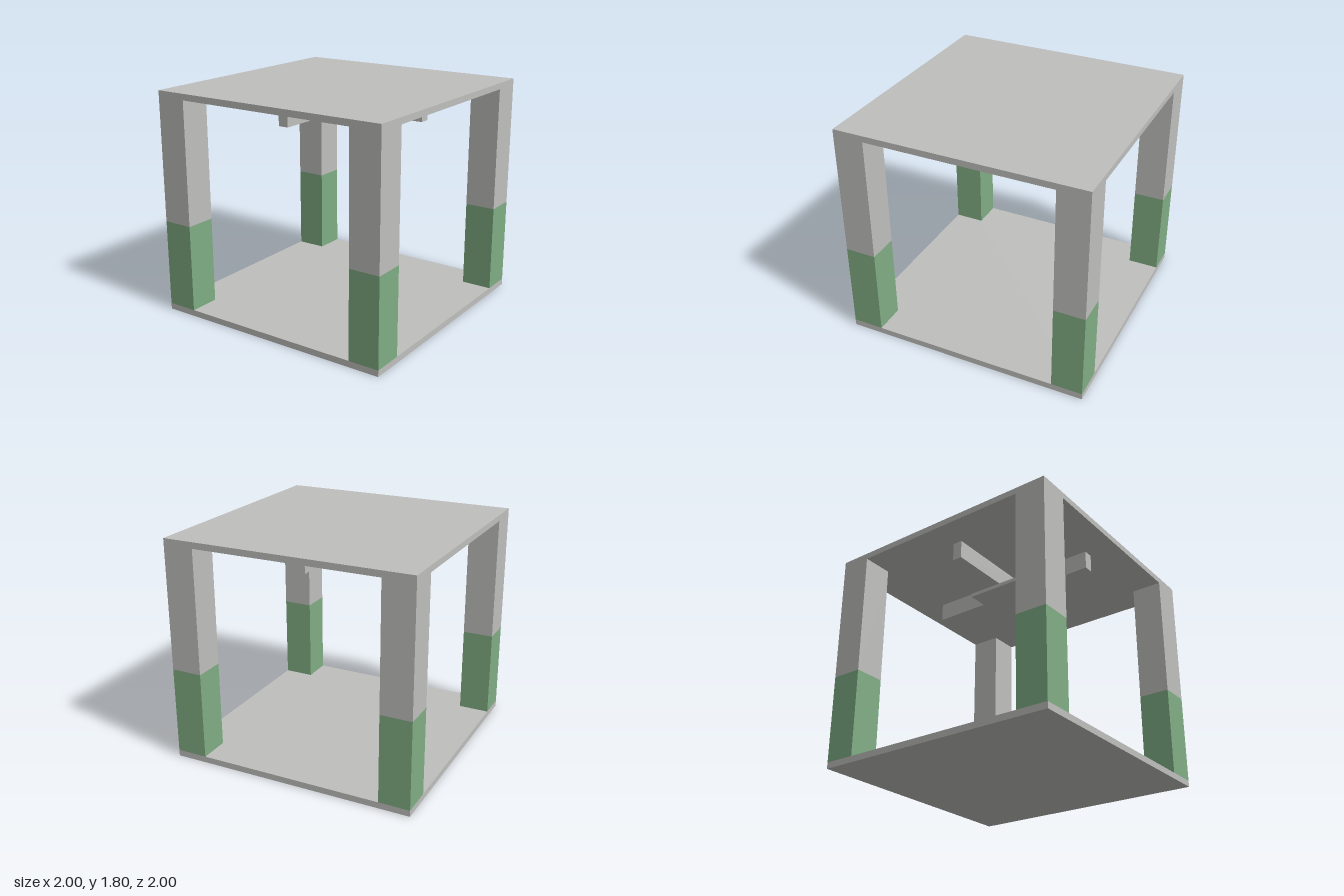
import * as THREE from 'three';

export function createModel() {
  const model = new THREE.Group();
  model.name = 'pavilion';

  const concrete = new THREE.MeshStandardMaterial({ color: 0xbfbfbd });
  concrete.name = 'concrete grey';
  const green = new THREE.MeshStandardMaterial({ color: 0x80ad84 });
  green.name = 'painted green';

  // Box given by its size, bottom height and centre
  function addBox(parent, name, material, width, depth, bottom, top, x = 0, z = 0) {
    const mesh = new THREE.Mesh(new THREE.BoxGeometry(width, top - bottom, depth), material);
    mesh.name = name;
    mesh.position.set(x, (bottom + top) / 2, z);
    parent.add(mesh);
  }

  // Floor and roof slabs
  addBox(model, 'floorSlab', concrete, 2, 2, 0, 0.05);
  addBox(model, 'roofSlab', concrete, 2, 2, 1.755, 1.805);

  // Four corner columns with a green lower part
  for (const [sideX, nameX] of [[1, 'Left'], [-1, 'Right']]) {
    for (const [sideZ, nameZ] of [[1, 'front'], [-1, 'back']]) {
      const column = new THREE.Group();
      column.name = `${nameZ}${nameX}Column`;
      column.position.set(sideX * 0.875, 0, sideZ * 0.875);
      addBox(column, 'columnBase', green, 0.25, 0.25, 0.05, 0.755);
      addBox(column, 'columnShaft', concrete, 0.25, 0.25, 0.755, 1.755);
      model.add(column);
    }
  }

  // Crossed ceiling beams: one full length, two halves meeting it
  addBox(model, 'longBeam', concrete, 0.08, 1.5, 1.605, 1.755);
  for (const side of [-1, 1]) {
    addBox(model, side > 0 ? 'leftBeam' : 'rightBeam', concrete, 0.71, 0.08, 1.605, 1.755, side * 0.395);
  }

  // Square plate under the crossing
  addBox(model, 'ceilingPlate', concrete, 0.5, 0.5, 1.575, 1.605);

  return model;
}
